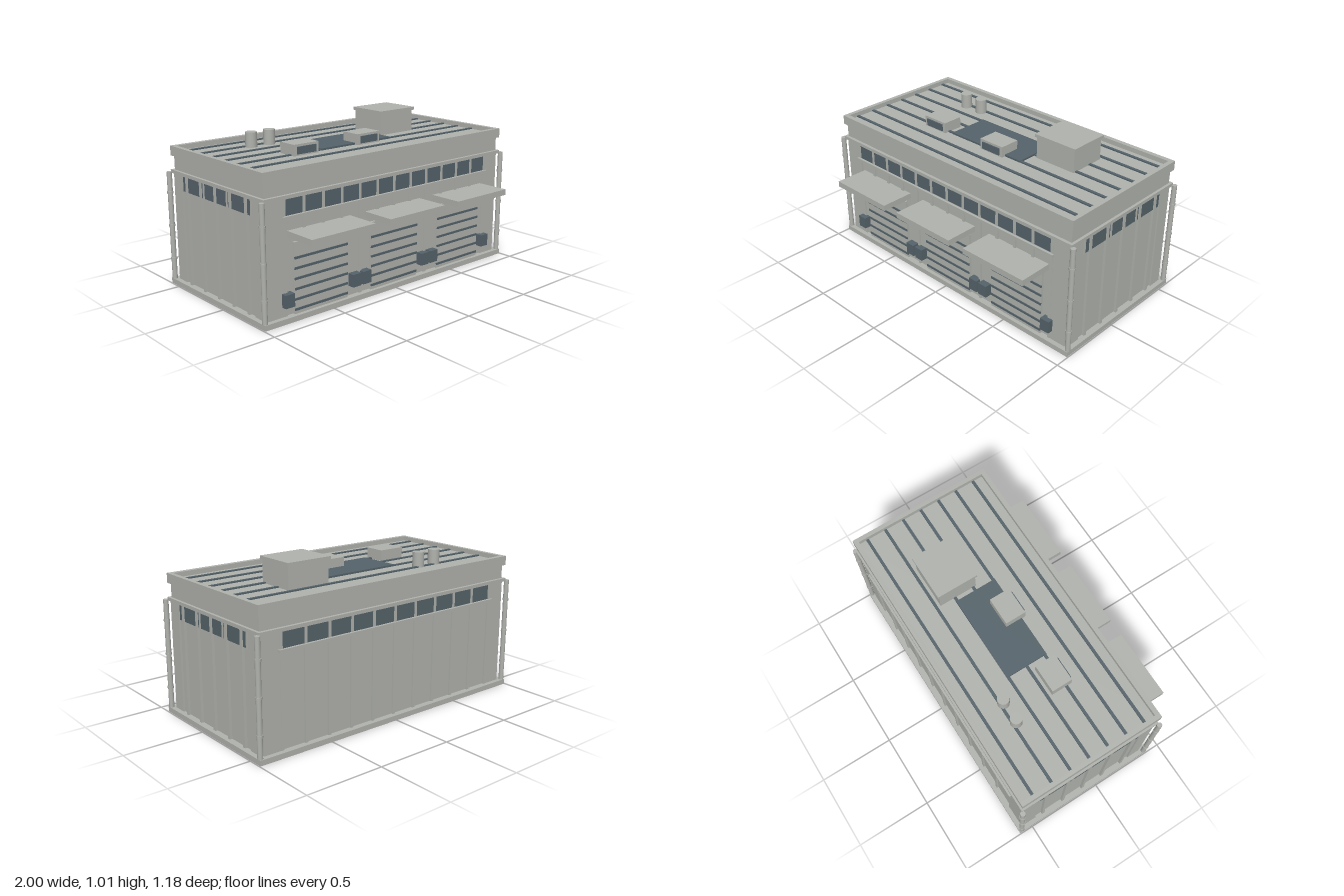
import * as THREE from 'three';

export function createModel() {
  const root = new THREE.Group();
  root.name = 'warehouse';
  const grey = new THREE.MeshStandardMaterial({ color: 0xb0b2ad });
  grey.name = 'concrete grey';
  const dark = new THREE.MeshStandardMaterial({ color: 0x55636a });
  dark.name = 'slate blue';

  // Box given by its extents on each axis
  const box = (name, mat, [x0, x1], [y0, y1], [z0, z1], parent = root) => {
    const m = new THREE.Mesh(new THREE.BoxGeometry(x1 - x0, y1 - y0, z1 - z0), mat);
    m.position.set((x0 + x1) / 2, (y0 + y1) / 2, (z0 + z1) / 2);
    m.name = name;
    parent.add(m);
    return m;
  };
  const cyl = (name, mat, r, y0, y1, x, z, sides) => {
    const g = new THREE.CylinderGeometry(r, r, y1 - y0, sides);
    const m = new THREE.Mesh(g, mat);
    m.position.set(x, (y0 + y1) / 2, z);
    m.name = name;
    root.add(m);
    return m;
  };

  const ZC = -0.09;           // centre of the building's depth
  const HX = 0.955, HZ = 0.46; // half sizes of the walls

  // Main volume
  box('base', grey, [-0.995, 0.995], [0, 0.033], [-0.59, 0.41]);
  box('walls', grey, [-HX, HX], [0.033, 0.82], [ZC - HZ, ZC + HZ]);
  box('belt', grey, [-0.972, 0.972], [0.712, 0.733], [-0.57, 0.39]);

  // Parapet ring and roof deck
  box('roofDeck', grey, [-0.95, 0.95], [0.82, 0.85], [-0.55, 0.37]);
  for (const s of [-1, 1]) {
    box('parapetSide', grey, s < 0 ? [-0.97, -0.942] : [0.942, 0.97], [0.82, 0.88], [-0.566, 0.386]);
    const z = ZC + s * 0.461;
    box('parapetLong', grey, [-0.942, 0.942], [0.82, 0.88], [z - 0.015, z + 0.015]);
  }
  for (let i = 0; i < 7; i++) {
    const z = -0.481 + i * 0.1283;
    box('roofSeam', dark, [-0.942, 0.942], [0.85, 0.858], [z - 0.009, z + 0.009]);
  }
  box('skylight', dark, [-0.288, 0.286], [0.85, 0.862], [-0.234, 0.043]);

  // Long walls: local frame has the wall surface at z = 0, facing +z
  const longWall = (name, count, half) => {
    const g = new THREE.Group();
    g.name = name;
    const step = (2 * half) / count;
    for (let i = 0; i <= count; i++) {
      const x = -half + i * step;
      box('rib', grey, [x - 0.009, x + 0.009], [0.033, 0.712], [0, 0.012], g);
      if (i < count) box('window', dark, [x + 0.009, x + step - 0.009], [0.615, 0.708], [0, 0.008], g);
    }
    box('sill', grey, [-0.845, 0.845], [0.598, 0.615], [0, 0.025], g);
    for (const s of [-1, 1]) {
      const a = s * 0.89;
      box('cornerPanel', grey, [a - 0.06, a + 0.06], [0.033, 0.712], [0, 0.01], g);
    }
    root.add(g);
    return g;
  };
  longWall('frontWall', 12, 0.83).position.z = ZC + HZ;
  const back = longWall('backWall', 10, 0.825);
  back.position.z = ZC - HZ;
  back.rotation.y = Math.PI;

  // Short side walls, same local frame
  for (const s of [-1, 1]) {
    const g = new THREE.Group();
    g.name = s > 0 ? 'leftWall' : 'rightWall';
    for (let i = -2; i <= 2; i++) {
      const x = i * 0.1535;
      box('rib', grey, [x - 0.01, x + 0.01], [0.033, 0.712], [0, 0.016], g);
    }
    for (let i = -1; i <= 1; i++) {
      const x = i * 0.241;
      box('window', dark, [x - 0.115, x + 0.115], [0.618, 0.71], [0, 0.009], g);
    }
    for (const x of [-0.358, -0.1205, 0.1205, 0.358]) {
      box('mullion', grey, [x - 0.006, x + 0.006], [0.615, 0.712], [0, 0.014], g);
    }
    for (const x of [-0.41, 0.41]) {
      box('cornerPanel', grey, [x - 0.045, x + 0.045], [0.033, 0.712], [0, 0.01], g);
    }
    g.position.set(s * HX, 0, ZC);
    g.rotation.y = s * Math.PI / 2;
    root.add(g);
  }

  // Drain pipes with clamps at the four corners
  for (const x of [-0.983, 0.983]) {
    for (const z of [-0.571, 0.391]) {
      cyl('drainPipe', grey, 0.016, 0.033, 0.72, x, z, 12);
      for (const y of [0.165, 0.38, 0.59]) {
        cyl('pipeClamp', grey, 0.019, y - 0.007, y + 0.007, x, z, 12);
      }
    }
  }

  // Loading bays: roller door, awning and two control boxes each
  for (const x of [-0.576, 0, 0.576]) {
    box('rollerDoor', grey, [x - 0.195, x + 0.195], [0.033, 0.457], [0.37, 0.386]);
    for (let i = 0; i < 6; i++) {
      const y = 0.06 + i * 0.061;
      box('doorGroove', dark, [x - 0.195, x + 0.195], [y - 0.007, y + 0.007], [0.383, 0.391]);
    }
    box('awning', grey, [x - 0.229, x + 0.229], [0.489, 0.527], [0.37, 0.589]);
    for (const s of [-1, 1]) {
      const c = x + s * 0.248;
      box('controlBox', dark, [c - 0.032, c + 0.032], [0.094, 0.173], [0.37, 0.415]);
    }
  }

  // Rooftop equipment
  box('stairHouse', grey, [0.315, 0.6], [0.85, 0.99], [-0.325, -0.075]);
  box('stairHouseCap', grey, [0.304, 0.61], [0.99, 1.01], [-0.335, -0.065]);
  for (const x of [-0.424, 0.073]) {
    box('airUnit', grey, [x - 0.091, x + 0.091], [0.85, 0.919], [-0.067, 0.068]);
    box('airUnitGrille', dark, [x - 0.069, x + 0.069], [0.86, 0.905], [0.068, 0.076]);
  }
  for (const x of [-0.54, -0.404]) cyl('ventStack', grey, 0.037, 0.85, 0.945, x, -0.332, 14);

  return root;
}
